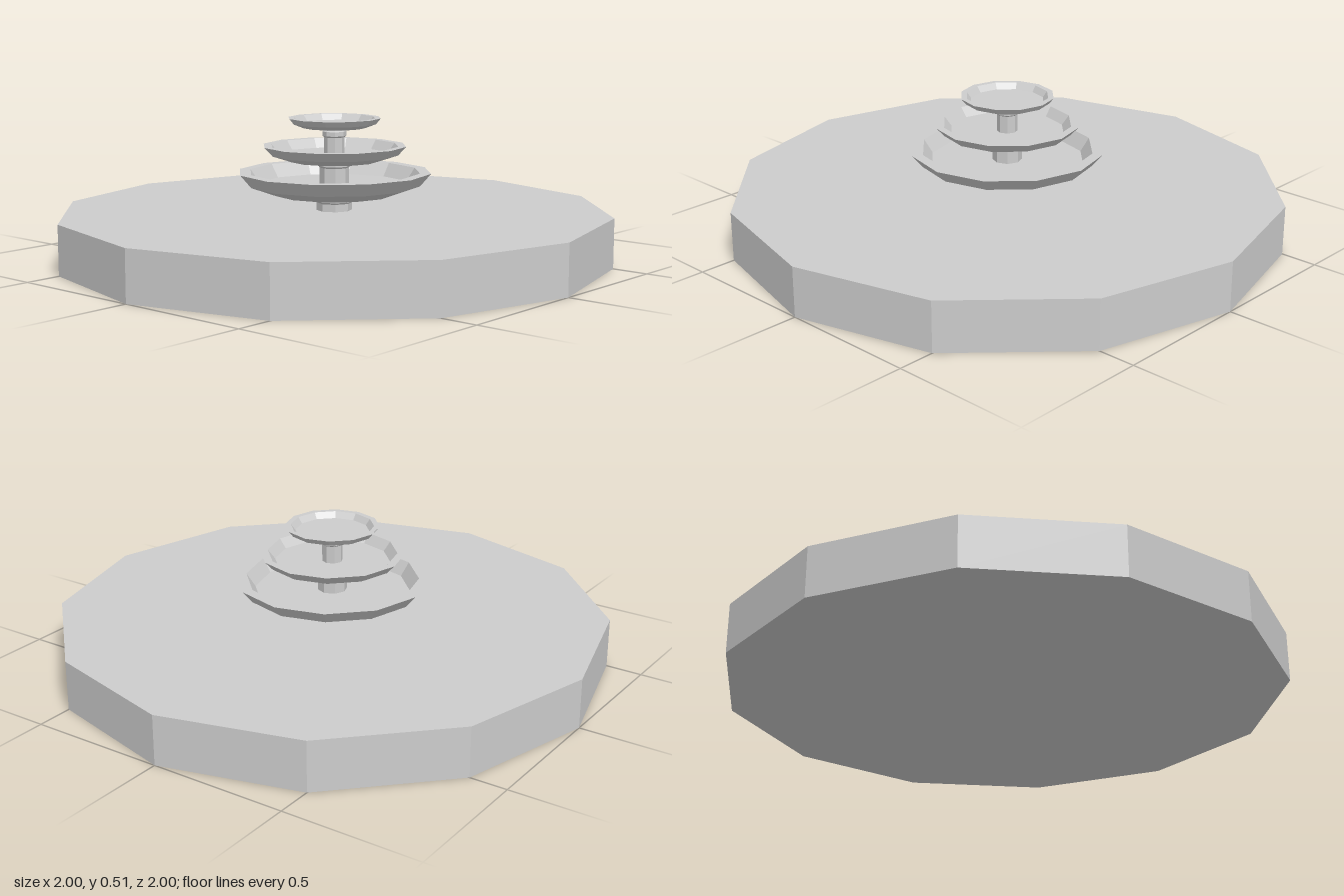
import * as THREE from 'three';

export function createModel() {
  const fountain = new THREE.Group();
  fountain.name = 'tieredFountain';
  const stone = new THREE.MeshStandardMaterial({ color: 0xcccccc, flatShading: true });
  stone.name = 'grey stone';

  // Faceted turned part from [radius, height] pairs, listed bottom to top
  function turned(name, profile, sides) {
    const points = profile.map(([r, y]) => new THREE.Vector2(r, y));
    const mesh = new THREE.Mesh(new THREE.LatheGeometry(points, sides), stone);
    mesh.name = name;
    fountain.add(mesh);
  }

  // Broad twelve-sided plinth
  const plinth = new THREE.Mesh(new THREE.CylinderGeometry(1, 1, 0.18, 12), stone);
  plinth.name = 'plinth';
  plinth.position.y = 0.09;
  fountain.add(plinth);

  // Open basins: flared underside, flat rim, sunken floor
  const basins = [
    { name: 'lowerBasin', rim: 0.352, lip: 0.312, floor: 0.28, foot: 0.22, y: 0.24, top: 0.32 },
    { name: 'middleBasin', rim: 0.262, lip: 0.233, floor: 0.207, foot: 0.163, y: 0.36, top: 0.415 },
    { name: 'upperBasin', rim: 0.169, lip: 0.149, floor: 0.133, foot: 0.115, y: 0.48, top: 0.515 },
  ];
  for (const b of basins) {
    const h = b.top - b.y;
    turned(b.name, [
      [0, b.y], [b.foot, b.y], [b.foot + (b.rim - b.foot) * 0.7, b.y + h * 0.42],
      [b.rim, b.top], [b.lip, b.top], [b.floor, b.y + h * 0.4], [0, b.y + h * 0.4],
    ], 12);
  }

  // Stems with a raised collar
  turned('lowerStem', [[0.064, 0.18], [0.064, 0.207], [0.069, 0.213], [0.069, 0.225], [0.075, 0.23], [0.075, 0.241]], 8);
  turned('middleStem', [[0.053, 0.27], [0.053, 0.335], [0.058, 0.341], [0.058, 0.361]], 8);
  turned('upperStem', [[0.037, 0.38], [0.037, 0.445], [0.043, 0.45], [0.043, 0.466], [0.037, 0.47], [0.037, 0.481]], 8);

  return fountain;
}
